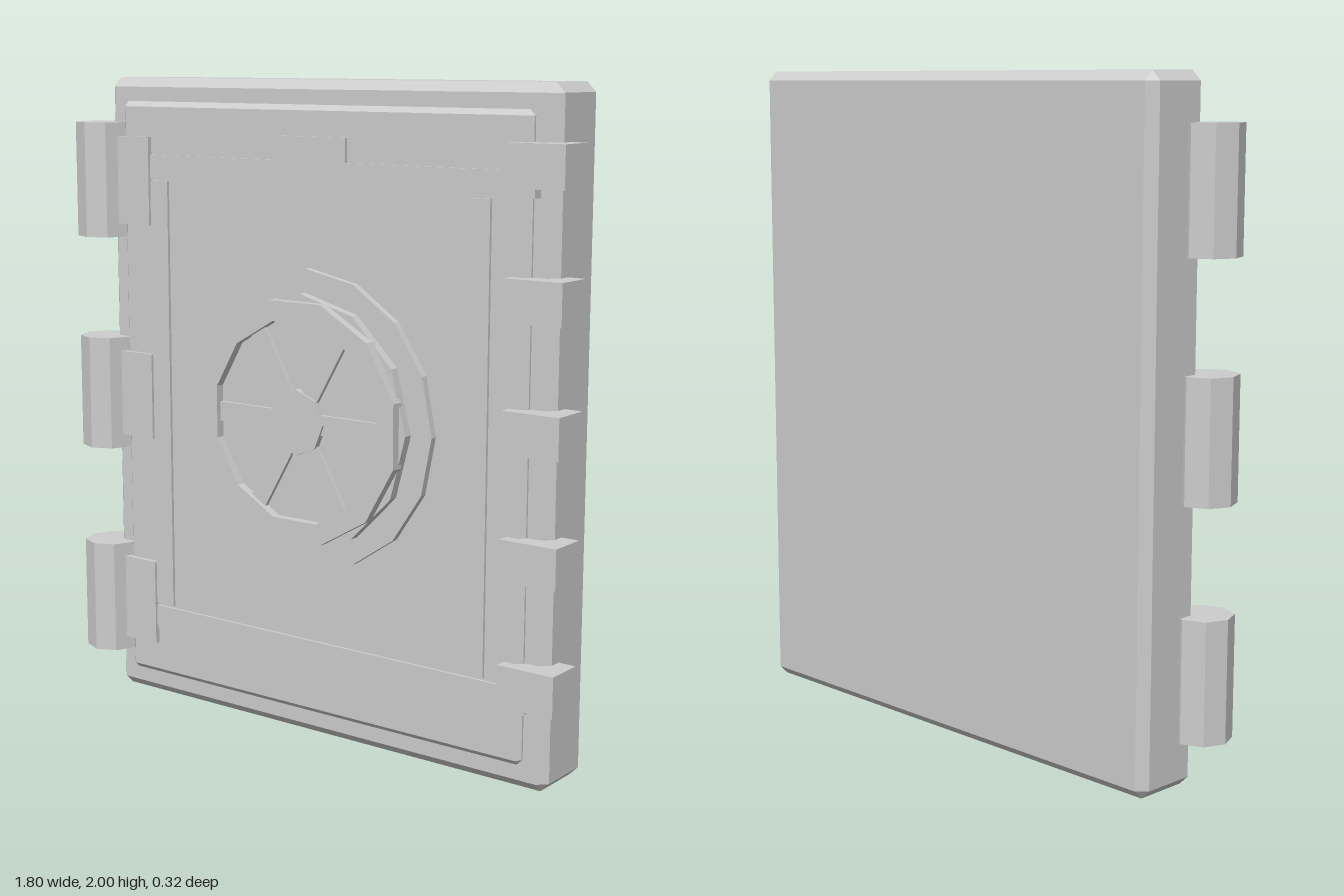
import * as THREE from 'three';
import { ConvexGeometry } from 'three/addons/geometries/ConvexGeometry.js';

const CX = 0.022; // centre line of the door leaf

export function createModel() {
  const model = new THREE.Group();
  model.name = 'vaultDoor';
  const steel = new THREE.MeshStandardMaterial({ color: 0xcccccc, flatShading: true });
  steel.name = 'steel grey';

  const add = (name, geometry) => {
    const mesh = new THREE.Mesh(geometry, steel);
    mesh.name = name;
    model.add(mesh);
    return mesh;
  };

  // Plain block given by its limits
  const block = (name, x0, x1, y0, y1, z0, z1) => {
    const mesh = add(name, new THREE.BoxGeometry(x1 - x0, y1 - y0, z1 - z0));
    mesh.position.set((x0 + x1) / 2, (y0 + y1) / 2, (z0 + z1) / 2);
    return mesh;
  };

  // Block with every edge chamfered by c
  const chamfered = (name, x0, x1, y0, y1, z0, z1, c) => {
    const half = [(x1 - x0) / 2, (y1 - y0) / 2, (z1 - z0) / 2];
    const points = [];
    for (const sx of [-1, 1]) for (const sy of [-1, 1]) for (const sz of [-1, 1]) {
      for (let axis = 0; axis < 3; axis++) {
        const p = half.map((h, i) => (i === axis ? h : h - c));
        points.push(new THREE.Vector3(sx * p[0], sy * p[1], sz * p[2]));
      }
    }
    const mesh = add(name, new ConvexGeometry(points));
    mesh.position.set((x0 + x1) / 2, (y0 + y1) / 2, (z0 + z1) / 2);
  };

  // Flat-sided disc or ring facing the front; turn is the angle of the first corner
  const polygon = (Type, radius, sides, turn) => {
    const points = [];
    for (let i = 0; i < sides; i++) {
      const a = turn + (i / sides) * Math.PI * 2;
      points.push(new THREE.Vector2(Math.cos(a) * radius, Math.sin(a) * radius));
    }
    return new Type(points);
  };
  const plate = (name, shape, z0, z1) => {
    const mesh = add(name, new THREE.ExtrudeGeometry(shape, { depth: z1 - z0, bevelEnabled: false }));
    mesh.position.set(CX, 1, z0);
    return mesh;
  };

  // Door leaf and raised front panel
  chamfered('doorSlab', -0.8, 0.842, 0, 2, -0.163, 0.058, 0.028);
  chamfered('frontPanel', -0.725, 0.77, 0.077, 1.928, 0.03, 0.081, 0.016);

  // Trim strips on the panel
  block('bottomTrim', -0.6, 0.79, 0.24, 0.312, 0.05, 0.09);
  block('leftTrim', 0.58, 0.65, 0.32, 1.685, 0.07, 0.09);
  block('rightTrim', -0.6, -0.53, 0.32, 1.685, 0.07, 0.09);
  const top = new THREE.Shape([
    [-0.6, 1.692], [0.79, 1.692], [0.79, 1.765], [0.157, 1.765],
    [0.157, 1.837], [-0.113, 1.837], [-0.113, 1.765], [-0.6, 1.765],
  ].map(([x, y]) => new THREE.Vector2(x, y)));
  add('topTrim', new THREE.ExtrudeGeometry(top, { depth: 0.04, bevelEnabled: false })).position.z = 0.05;

  // Hinges: octagonal barrel with a strap on the panel
  for (const y of [0.32, 1.0, 1.682]) {
    const barrel = add('hingeBarrel', new THREE.CylinderGeometry(0.09, 0.09, 0.36, 8));
    barrel.position.set(-0.811, y, 0.07);
    block('hingeStrap', -0.74, -0.602, y - 0.137, y + 0.137, 0.04, 0.096);
  }

  // Locking bolts on the opposite edge
  for (let i = 0; i < 5; i++) {
    const y = 0.32 + i * 0.365;
    block('lockingBolt', 0.715, 0.898, y - 0.061, y + 0.061, -0.006, 0.118);
  }

  // Stepped wheel: two discs, rim, spokes and hub
  plate('wheelBase', polygon(THREE.Shape, 0.453, 16, 0), 0.07, 0.103);
  plate('wheelStep', polygon(THREE.Shape, 0.382, 12, 0), 0.09, 0.132);
  const rim = polygon(THREE.Shape, 0.372, 12, Math.PI / 12);
  rim.holes.push(polygon(THREE.Path, 0.308, 12, Math.PI / 12));
  plate('wheelRim', rim, 0.12, 0.16);
  for (let i = 0; i < 6; i++) {
    const a = (i * Math.PI) / 3;
    const spoke = add('wheelSpoke', new THREE.BoxGeometry(0.24, 0.06, 0.025));
    spoke.position.set(CX + Math.cos(a) * 0.19, 1 + Math.sin(a) * 0.19, 0.132);
    spoke.rotation.z = a;
  }
  plate('wheelHub', polygon(THREE.Shape, 0.1, 8, 0), 0.12, 0.152);

  return model;
}
